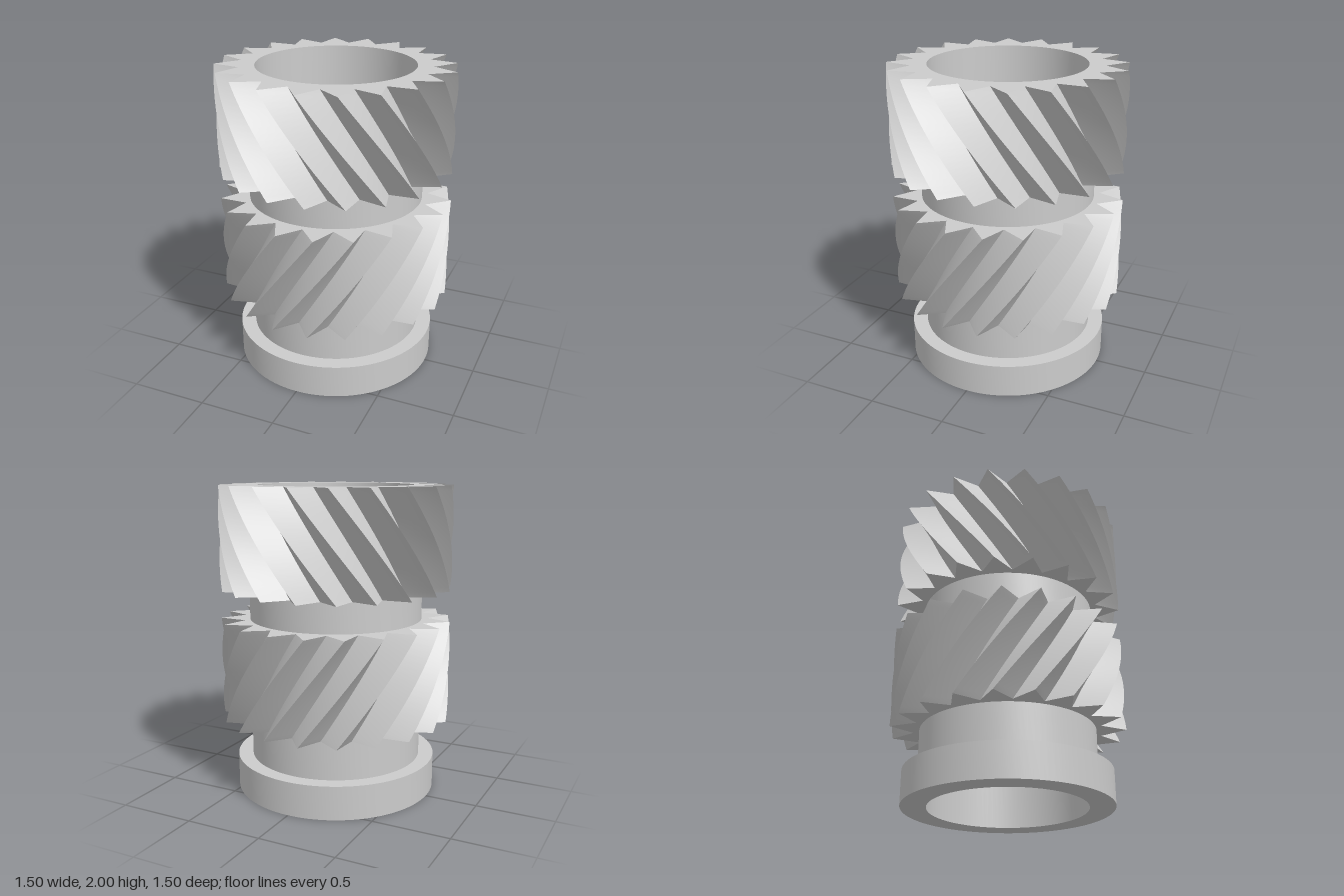
import * as THREE from 'three';
import { toCreasedNormals } from 'three/addons/utils/BufferGeometryUtils.js';

const BORE = 0.5, NECK = 0.563, ROOT = 0.6, TIP = 0.75;
const TEETH = 20;
const TWIST = THREE.MathUtils.degToRad(39.5);
const PHASE = Math.PI / TEETH;

const material = new THREE.MeshStandardMaterial({ color: 0xcccccc });

function part(name, geometry) {
  const mesh = new THREE.Mesh(toCreasedNormals(geometry, 0.5), material);
  mesh.name = name;
  return mesh;
}

// Revolved ring from [radius, height] pairs
function ring(name, profile) {
  const points = profile.map(([r, y]) => new THREE.Vector2(r, y));
  return part(name, new THREE.LatheGeometry(points, 96));
}

// Pointed-tooth outline with a round bore
function gearShape() {
  const points = [];
  for (let i = 0; i < TEETH * 2; i++) {
    const a = PHASE + (i * Math.PI) / TEETH;
    const r = i % 2 ? ROOT : TIP;
    points.push(new THREE.Vector2(r * Math.sin(a), -r * Math.cos(a)));
  }
  const shape = new THREE.Shape(points);
  shape.holes.push(new THREE.Path().absarc(0, 0, BORE, 0, Math.PI * 2, true));
  return shape;
}

// Helical gear: extrude the outline, then turn each layer in step with its height
function helicalGear(name, bottom, top, twist) {
  const height = top - bottom;
  const geometry = new THREE.ExtrudeGeometry(gearShape(), {
    depth: height, steps: 20, curveSegments: 48, bevelEnabled: false,
  });
  geometry.rotateX(-Math.PI / 2);
  const pos = geometry.attributes.position;
  const v = new THREE.Vector3();
  const up = new THREE.Vector3(0, 1, 0);
  for (let i = 0; i < pos.count; i++) {
    v.fromBufferAttribute(pos, i);
    v.applyAxisAngle(up, (twist * v.y) / height);
    pos.setXYZ(i, v.x, v.y + bottom, v.z);
  }
  return part(name, geometry);
}

export function createModel() {
  const group = new THREE.Group();
  group.name = 'doubleHelicalGear';

  // Base collar with the lower neck and its bore
  group.add(ring('baseCollar', [
    [BORE, 0.485], [BORE, 0], [0.66, 0], [0.66, 0.22], [NECK, 0.22], [NECK, 0.485],
  ]));

  // Two gears of opposite hand, joined by a plain neck
  group.add(helicalGear('lowerGear', 0.485, 1.142, TWIST));
  group.add(ring('middleNeck', [
    [BORE, 1.342], [BORE, 1.142], [NECK, 1.142], [NECK, 1.342],
  ]));
  group.add(helicalGear('upperGear', 1.342, 2, -TWIST));

  return group;
}
